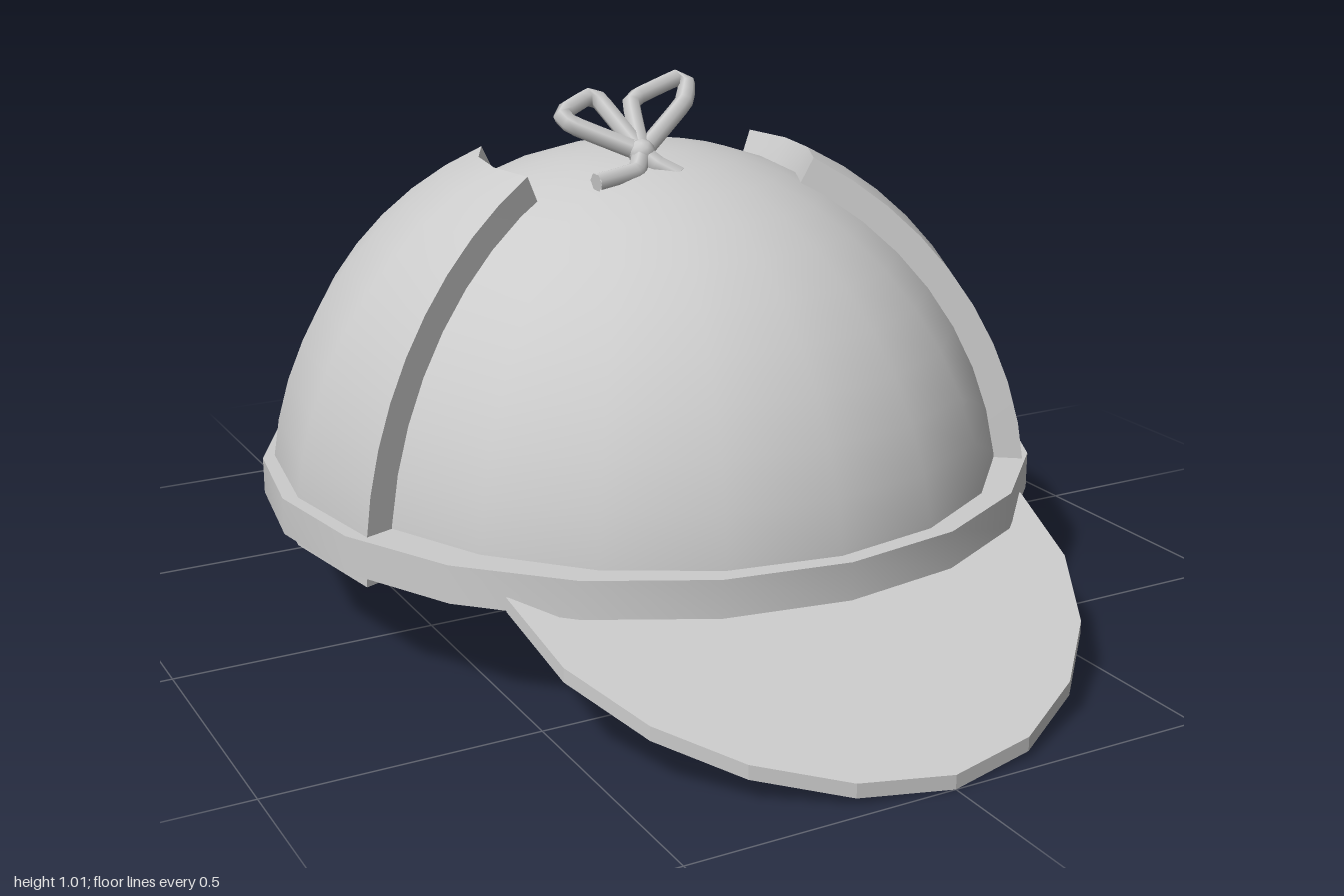
import * as THREE from 'three';
import { toCreasedNormals } from 'three/addons/utils/BufferGeometryUtils.js';

const SIDES = 20;
const CENTRE_Z = -0.07;
const BASE_Y = 0.2;

export function createModel() {
  const hat = new THREE.Group();
  hat.name = 'earflapCap';
  const material = new THREE.MeshStandardMaterial({ color: 0xcccccc });
  const add = (name, geometry, parent = hat) => {
    const mesh = new THREE.Mesh(geometry, material);
    mesh.name = name;
    parent.add(mesh);
    return mesh;
  };

  // Crown: half ellipsoid with a flat underside
  const crown = new THREE.SphereGeometry(1, SIDES, 12, 0, Math.PI * 2, 0, Math.PI / 2);
  crown.scale(0.68, 0.68, 0.73);
  add('crown', crown).position.set(0, BASE_Y, CENTRE_Z);
  const lining = new THREE.CircleGeometry(1, SIDES);
  lining.rotateX(Math.PI / 2);
  lining.scale(0.7, 1, 0.73);
  add('lining', lining).position.set(0, 0.215, CENTRE_Z);

  // Band: rectangular section turned round the crown
  const section = [[0.757, 0.21], [0.757, 0.28], [0.67, 0.28], [0.67, 0.21], [0.757, 0.21]];
  const band = new THREE.LatheGeometry(section.map(([r, y]) => new THREE.Vector2(r, y)), SIDES);
  add('band', toCreasedNormals(band, 0.5)).position.z = CENTRE_Z;

  // Earflaps: a box bent onto the crown, the second turned half a circle
  const makeFlap = () => {
    const geometry = new THREE.BoxGeometry(1, 1, 1, 3, 10, 1);
    const p = geometry.attributes.position;
    for (let i = 0; i < p.count; i++) {
      const around = THREE.MathUtils.degToRad(THREE.MathUtils.lerp(-37, 19.5, p.getX(i) + 0.5));
      const down = THREE.MathUtils.degToRad(THREE.MathUtils.lerp(91, 25.8, p.getY(i) + 0.5));
      const out = p.getZ(i) > 0 ? 0 : -0.065;
      p.setXYZ(i,
        (0.735 + out) * Math.sin(down) * Math.cos(around),
        (0.733 + out) * Math.cos(down),
        -(0.78 + out) * Math.sin(down) * Math.sin(around));
    }
    geometry.computeVertexNormals();
    return geometry;
  };
  ['leftEarflap', 'rightEarflap'].forEach((name, i) => {
    const flap = add(name, makeFlap());
    flap.position.set(0, BASE_Y, CENTRE_Z);
    flap.rotation.y = i * Math.PI;
  });

  // Visors: mirrored outline, given thickness and sloped downward
  const makeVisor = (half, top, slope) => {
    const mirrored = half.slice(0, -1).reverse().map(([x, z]) => [-x, z]);
    const outline = [...half, ...mirrored].map(([x, z]) => new THREE.Vector2(x, z));
    const geometry = new THREE.ExtrudeGeometry(new THREE.Shape(outline), { depth: 0.026, bevelEnabled: false });
    return geometry.applyMatrix4(new THREE.Matrix4().set(
      1, 0, 0, 0,
      0, -slope, -1, top,
      0, 1, 0, 0,
      0, 0, 0, 1));
  };
  add('frontVisor', makeVisor(
    [[0.54, 0.45], [0.515, 0.62], [0.435, 0.77], [0.32, 0.885], [0.17, 0.968], [0, 1]], 0.406, 0.38));
  add('backVisor', makeVisor(
    [[0.32, 0.74], [0.33, 0.79], [0.305, 0.855], [0.2, 0.945], [0.1, 0.987], [0, 1]], 0.545, 0.39)).rotation.y = Math.PI;

  // Bow: two loops and two loose ends lying in one sloping plane
  const bow = new THREE.Group();
  bow.name = 'bow';
  hat.add(bow);
  const knot = [-0.07, 0.05];
  const inPlane = ([x, z]) => new THREE.Vector3(x, 0.885 + (0.05 - z) * 0.72, z);
  const cord = (name, points) => {
    const curve = new THREE.CatmullRomCurve3(points.map(inPlane), false, 'catmullrom', 0.15);
    add(name, new THREE.TubeGeometry(curve, 20, 0.018, 6), bow);
    // Closed tips
    for (const t of [0, 1]) {
      const tip = new THREE.CircleGeometry(0.018, 6);
      const direction = curve.getTangent(t).multiplyScalar(t ? 1 : -1);
      tip.applyQuaternion(new THREE.Quaternion().setFromUnitVectors(new THREE.Vector3(0, 0, 1), direction));
      add(name + 'Tip', tip, bow).position.copy(curve.getPoint(t));
    }
  };
  cord('rightLoop', [knot, [-0.18, -0.02], [-0.19, -0.045], [-0.12, -0.075], [-0.1, -0.065], knot]);
  cord('leftLoop', [knot, [-0.04, -0.05], [-0.025, -0.065], [0.085, -0.1], [0.1, -0.085], [0.07, -0.045], knot]);
  cord('rightEnd', [knot, [-0.1, 0.085], [-0.19, 0.1]]);
  cord('leftEnd', [knot, [-0.05, 0.08], [-0.02, 0.105]]);
  add('knot', new THREE.IcosahedronGeometry(0.026, 1), bow).position.copy(inPlane(knot));

  return hat;
}
